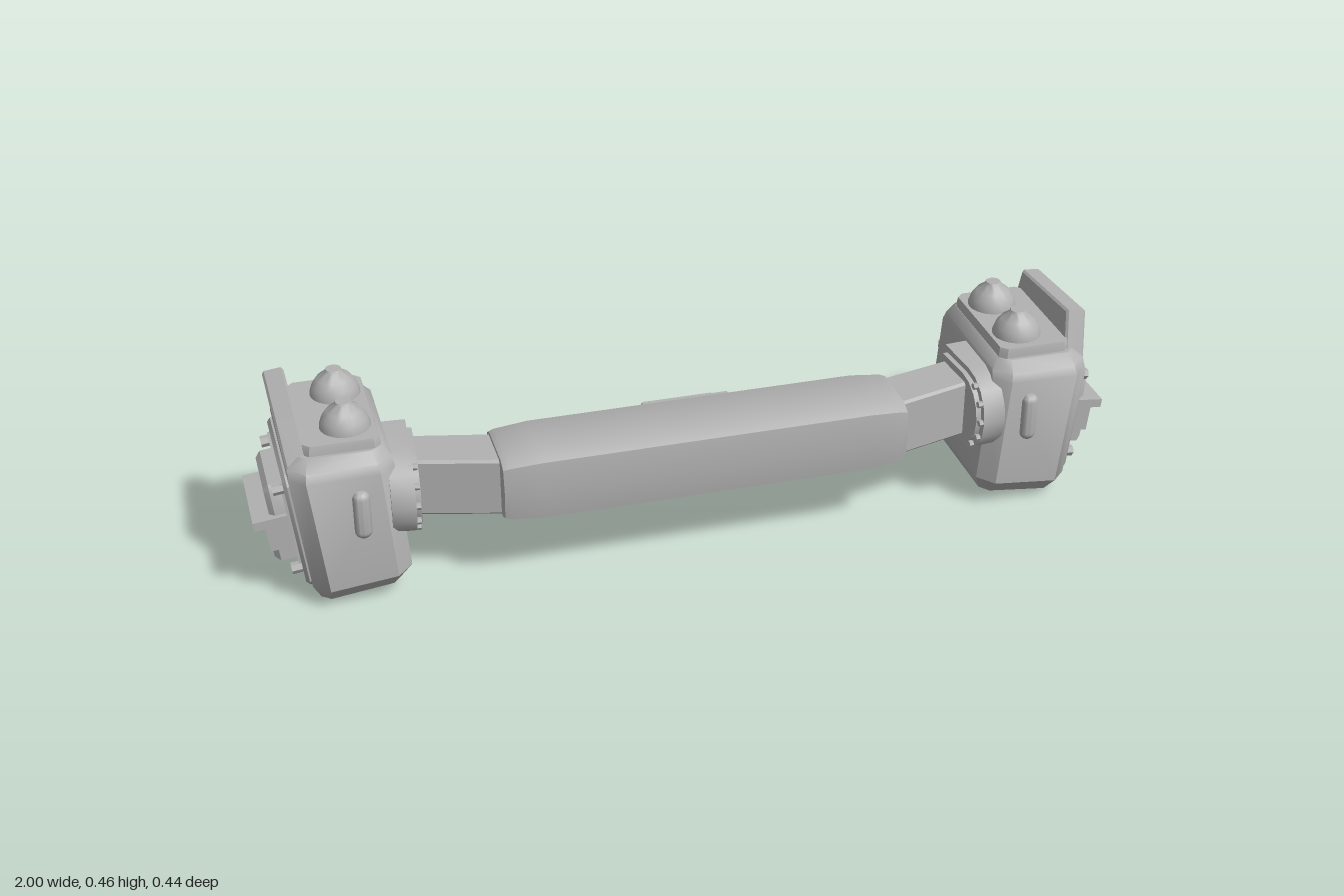
import * as THREE from 'three';
import { toCreasedNormals } from 'three/addons/utils/BufferGeometryUtils.js';

const gray = new THREE.MeshStandardMaterial({ color: 0xb2b2b2 });
gray.name = 'plain gray';

function add(parent, name, geo, x = 0, y = 0, z = 0) {
  const mesh = new THREE.Mesh(toCreasedNormals(geo, 0.6), gray);
  mesh.name = name;
  mesh.position.set(x, y, z);
  parent.add(mesh);
  return mesh;
}

// box given by its limits on each axis
function block(parent, name, [x0, x1], [y0, y1], [z0, z1]) {
  return add(parent, name, new THREE.BoxGeometry(x1 - x0, y1 - y0, z1 - z0),
    (x0 + x1) / 2, (y0 + y1) / 2, (z0 + z1) / 2);
}

// closed skin through rings of equal length, capped at both ends
function loft(rings) {
  const n = rings[0].length, pos = rings.flat(2), index = [];
  for (let r = 0; r < rings.length - 1; r++) {
    for (let i = 0; i < n; i++) {
      const a = r * n + i, b = r * n + (i + 1) % n;
      index.push(a, b, b + n, a, b + n, a + n);
    }
  }
  const last = (rings.length - 1) * n;
  for (let i = 1; i < n - 1; i++) index.push(0, i + 1, i, last, last + i, last + i + 1);
  // turn the faces outward
  let volume = 0;
  const p = i => new THREE.Vector3().fromArray(pos, i * 3);
  for (let i = 0; i < index.length; i += 3) volume += p(index[i]).dot(p(index[i + 1]).cross(p(index[i + 2])));
  if (volume < 0) index.reverse();
  const geo = new THREE.BufferGeometry();
  geo.setAttribute('position', new THREE.Float32BufferAttribute(pos, 3));
  geo.setIndex(index);
  geo.computeVertexNormals();
  return geo;
}

// rectangle with cut corners
const octagon = (a0, a1, b0, b1, c) => [
  [a0 + c, b0], [a1 - c, b0], [a1, b0 + c], [a1, b1 - c],
  [a1 - c, b1], [a0 + c, b1], [a0, b1 - c], [a0, b0 + c]];

// outline in (z, y), extruded along x from x0 to x1
function plate(outline, x0, x1, bevel = 0) {
  const shape = new THREE.Shape(outline.map(([z, y]) => new THREE.Vector2(-z, y)));
  return new THREE.ExtrudeGeometry(shape, {
    depth: x1 - x0 - bevel, bevelEnabled: bevel > 0, bevelSize: bevel,
    bevelThickness: bevel, bevelOffset: -bevel, bevelSegments: 1, curveSegments: 8,
  }).translate(0, 0, x0).rotateY(Math.PI / 2);
}

function bolt(parent, name, r, x0, x1, y, z) {
  add(parent, name, new THREE.CylinderGeometry(r, r, x1 - x0, 6).rotateZ(Math.PI / 2), (x0 + x1) / 2, y, z);
}

function outerPanel() {
  const g = new THREE.Group();
  g.name = 'outerPanel';
  g.position.x = 0.883;
  g.rotation.z = -0.114;
  add(g, 'panelBase', plate(octagon(-0.15, 0.145, 0.04, 0.33, 0.02), -0.02, 0.012, 0.008));
  add(g, 'panelInset', plate([[0.115, 0.07], [-0.132, 0.07], [-0.12, 0.3], [0.108, 0.3]], 0.01, 0.018));
  // upright shield above the panel
  add(g, 'shield', plate([[0.152, 0.315], [0.105, 0.455], [-0.15, 0.437], [-0.165, 0.345], [-0.15, 0.31]],
    -0.045, -0.002, 0.005));
  for (const [z, y] of [[0.102, 0.286], [-0.109, 0.286], [0.11, 0.083], [-0.118, 0.083]])
    bolt(g, 'panelBolt', 0.013, 0.01, 0.036, y, z);
  // hooded step
  add(g, 'hood', plate([[0.09, 0.2], [0.083, 0.265], [0.07, 0.282], [-0.08, 0.282], [-0.093, 0.265], [-0.1, 0.2]],
    0.01, 0.055, 0.012));
  block(g, 'stepLedge', [0.015, 0.094], [0.192, 0.213], [-0.107, 0.1]);
  block(g, 'stepBack', [0.015, 0.045], [0.13, 0.195], [-0.09, 0.08]);
  for (const z of [0.087, -0.094]) block(g, 'stepPost', [0.015, 0.07], [0.13, 0.195], [z - 0.01, z + 0.01]);
  add(g, 'stepFoot', plate([[0.095, 0.14], [0.095, 0.1], [0.075, 0.088], [-0.085, 0.088], [-0.103, 0.1], [-0.103, 0.14]],
    0.01, 0.065, 0.012));
  return g;
}

function rearVent() {
  const g = new THREE.Group();
  g.name = 'rearVent';
  const x = [0.71, 0.86], y = [0.06, 0.23];
  block(g, 'ventBack', x, y, [-0.2, -0.18]);
  block(g, 'ventTop', x, [0.216, 0.235], [-0.223, -0.18]);
  block(g, 'ventBottom', x, [0.06, 0.076], [-0.217, -0.18]);
  for (const s of [0.71, 0.842]) block(g, 'ventSide', [s, s + 0.018], y, [-0.217, -0.18]);
  for (let i = 0; i < 4; i++) {
    const slat = block(g, 'ventSlat', [0.725, 0.845], [0.088 + i * 0.034, 0.104 + i * 0.034], [-0.216, -0.195]);
    slat.rotation.x = -0.4;
  }
  return g;
}

function collar() {
  const g = new THREE.Group();
  g.name = 'collar';
  g.position.set(0.665, 0.243, 0.085);
  g.rotation.y = 0.08;
  // square at the back, rounded at the front
  const outline = k => {
    const pts = [[0.02 * k, -0.1 * k], [-0.1 * k, -0.1 * k], [-0.115 * k, -0.085 * k],
      [-0.115 * k, 0.085 * k], [-0.1 * k, 0.1 * k], [0.02 * k, 0.1 * k]];
    for (let i = 1; i < 8; i++) {
      const a = Math.PI / 2 - i * Math.PI / 8;
      pts.push([(0.02 + 0.095 * Math.cos(a)) * k, 0.1 * Math.sin(a) * k]);
    }
    return pts;
  };
  add(g, 'collarFlange', plate(outline(1), -0.018, 0.035));
  add(g, 'collarLip', plate(outline(0.86), -0.03, 0));
  for (const a of [-1, -0.5, 0, 0.5, 1])
    bolt(g, 'collarBolt', 0.008, -0.028, -0.01, 0.091 * Math.sin(a), 0.02 + 0.086 * Math.cos(a));
  return g;
}

function sidePod() {
  const g = new THREE.Group();
  g.name = 'leftPod';
  // tapered housing: height, x limits, z limits, corner cut
  const levels = [
    [0, 0.69, 0.87, -0.145, 0.14, 0.02], [0.05, 0.668, 0.889, -0.193, 0.187, 0.035],
    [0.33, 0.69, 0.92, -0.193, 0.187, 0.035], [0.35, 0.694, 0.918, -0.186, 0.176, 0.035],
    [0.373, 0.712, 0.9, -0.165, 0.15, 0.025]];
  add(g, 'housing', loft(levels.map(([y, x0, x1, z0, z1, c]) => octagon(x0, x1, z0, z1, c)
    .map(([x, z]) => [x, y + Math.max(0, 0.87 - x) * 0.12 * (1 - y / 0.373), z]))));
  add(g, 'domeBase', loft([0.36, 0.388, 0.396].map((y, i) =>
    octagon(0.712 + i * 0.002, 0.885 - i * 0.002, -0.15, 0.143 - i * 0.002, 0.015).map(([x, z]) => [x, y, z]))));
  const profile = [[0.056, 0.385], [0.056, 0.4], [0.05, 0.418], [0.038, 0.435], [0.022, 0.447], [0.017, 0.456], [0, 0.456]];
  for (const z of [-0.083, 0.066])
    add(g, 'dome', new THREE.LatheGeometry(profile.map(p => new THREE.Vector2(...p)), 24), 0.78, 0, z);
  add(g, 'frontRib', new THREE.CapsuleGeometry(0.02, 0.08, 6, 12), 0.772, 0.24, 0.184);
  g.add(outerPanel(), rearVent(), collar());
  // arm joining the pod to the beam
  add(g, 'arm', loft([[0.42, 0.055, 0.18], [0.7, -0.012, 0.105]].map(([x, z0, z1]) =>
    octagon(0.173, 0.312, z0, z1, 0.006).map(([y, z]) => [x, y, z]))));
  return g;
}

// reflected copy with the faces turned the right way round
function mirrored(source, name) {
  const g = new THREE.Group();
  g.name = name;
  const flip = new THREE.Matrix4().makeScale(-1, 1, 1);
  source.updateMatrixWorld(true);
  source.traverse(o => {
    if (!o.isMesh) return;
    const geo = o.geometry.clone().applyMatrix4(flip.clone().multiply(o.matrixWorld));
    geo.setIndex([...Array(geo.attributes.position.count).keys()].reverse());
    const mesh = new THREE.Mesh(geo, gray);
    mesh.name = o.name;
    g.add(mesh);
  });
  return g;
}

function centreBeam() {
  const g = new THREE.Group();
  g.name = 'centreBeam';
  // bulging section shrunk towards both ends
  const section = [[0.165, 0.05], [0.165, 0.185], [0.178, 0.212], [0.248, 0.221],
    [0.318, 0.212], [0.333, 0.185], [0.333, 0.05], [0.318, 0.026], [0.178, 0.026]];
  add(g, 'beam', loft([[-0.465, 0.86], [-0.45, 0.92], [-0.38, 1], [0.38, 1], [0.45, 0.92], [0.465, 0.86]]
    .map(([x, k]) => section.map(([y, z]) => [x, 0.249 + (y - 0.249) * k, 0.12 + (z - 0.12) * (k + 1) / 2]))));
  // rear hatch with a framed tray
  add(g, 'hatchBase', loft([[0.03, 0.115, 0.058], [0, 0.115, 0.058], [-0.014, 0.095, 0.045]].map(([z, w, h]) =>
    octagon(-w, w, 0.25 - h, 0.25 + h, 0.015).map(([x, y]) => [x, y, z]))));
  block(g, 'hatchLedge', [-0.085, 0.08], [0.262, 0.274], [-0.06, 0]);
  block(g, 'hatchFoot', [-0.085, 0.08], [0.214, 0.232], [-0.035, 0]);
  for (const x of [-0.085, 0.07]) block(g, 'hatchPost', [x, x + 0.01], [0.22, 0.265], [-0.035, 0]);
  // smaller rear plates with ledges
  for (const x of [-0.3, 0.3]) {
    add(g, 'rearPlate', loft([[0.03, 0.085, 0.037], [0.012, 0.075, 0.03]].map(([z, w, h]) =>
      octagon(x - w, x + w, 0.25 - h, 0.25 + h, 0.012).map(([px, y]) => [px, y, z]))));
    block(g, 'rearPlateLedge', [x - 0.1, x + 0.1], [0.238, 0.254], [0, 0.03]);
  }
  return g;
}

export function createModel() {
  const model = new THREE.Group();
  model.name = 'crossbar';
  const left = sidePod();
  model.add(centreBeam(), left, mirrored(left, 'rightPod'));
  return model;
}
